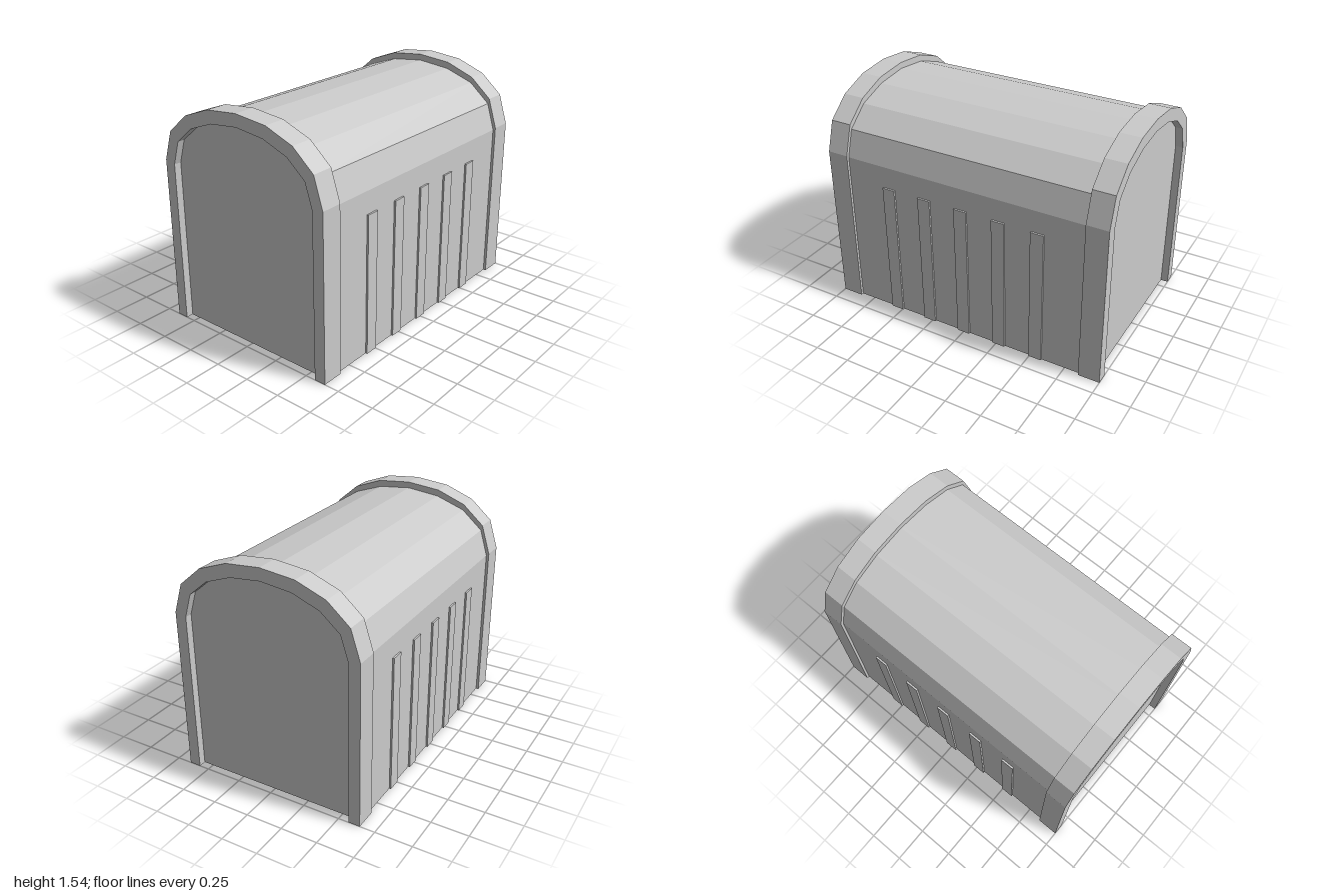
import * as THREE from 'three';

export function createModel() {
  const model = new THREE.Group();
  const material = new THREE.MeshStandardMaterial({ color: 0xcccccc, flatShading: true });

  // Half profiles [z, y], from the foot up to the crown
  const outer = [[0.648, 0], [0.648, 1.115], [0.585, 1.315], [0.435, 1.445], [0.235, 1.52], [0, 1.543]];
  const inner = [[0.57, 0], [0.57, 1.1], [0.52, 1.26], [0.39, 1.37], [0.21, 1.437], [0, 1.46]];
  const barrel = [[0.63, 0], [0.63, 1.1], [0.575, 1.28], [0.43, 1.405], [0.23, 1.475], [0, 1.5]];

  // Mirror a half profile into a complete arch
  const arch = (half) => [...half, ...half.slice(0, -1).reverse().map(([z, y]) => [-z, y])];

  // Extrude a closed profile along x, centred on the given x
  const addExtrusion = (name, points, length, x) => {
    const shape = new THREE.Shape(points.map(([z, y]) => new THREE.Vector2(z, y)));
    const geometry = new THREE.ExtrudeGeometry(shape, { depth: length, bevelEnabled: false });
    geometry.translate(0, 0, -length / 2).rotateY(Math.PI / 2);
    const mesh = new THREE.Mesh(geometry, material);
    mesh.name = name;
    mesh.position.x = x;
    model.add(mesh);
  };

  // Solid vaulted body; its end walls sit back inside the rims
  addExtrusion('body', arch(barrel), 1.9, 0);

  // Raised arched rim at each end, open at the bottom
  const rim = [...arch(outer), ...arch(inner).reverse()];
  addExtrusion('leftRim', rim, 0.147, 0.9265);
  addExtrusion('rightRim', rim, 0.147, -0.9265);

  // Thin vertical ribs on both long sides
  const ribGeometry = new THREE.BoxGeometry(0.09, 0.95, 0.04);
  for (const side of [1, -1]) {
    for (let i = -2; i <= 2; i++) {
      const rib = new THREE.Mesh(ribGeometry, material);
      rib.name = side > 0 ? 'frontRib' : 'backRib';
      rib.position.set(i * 0.27, 0.475, side * 0.622);
      model.add(rib);
    }
  }
  return model;
}
